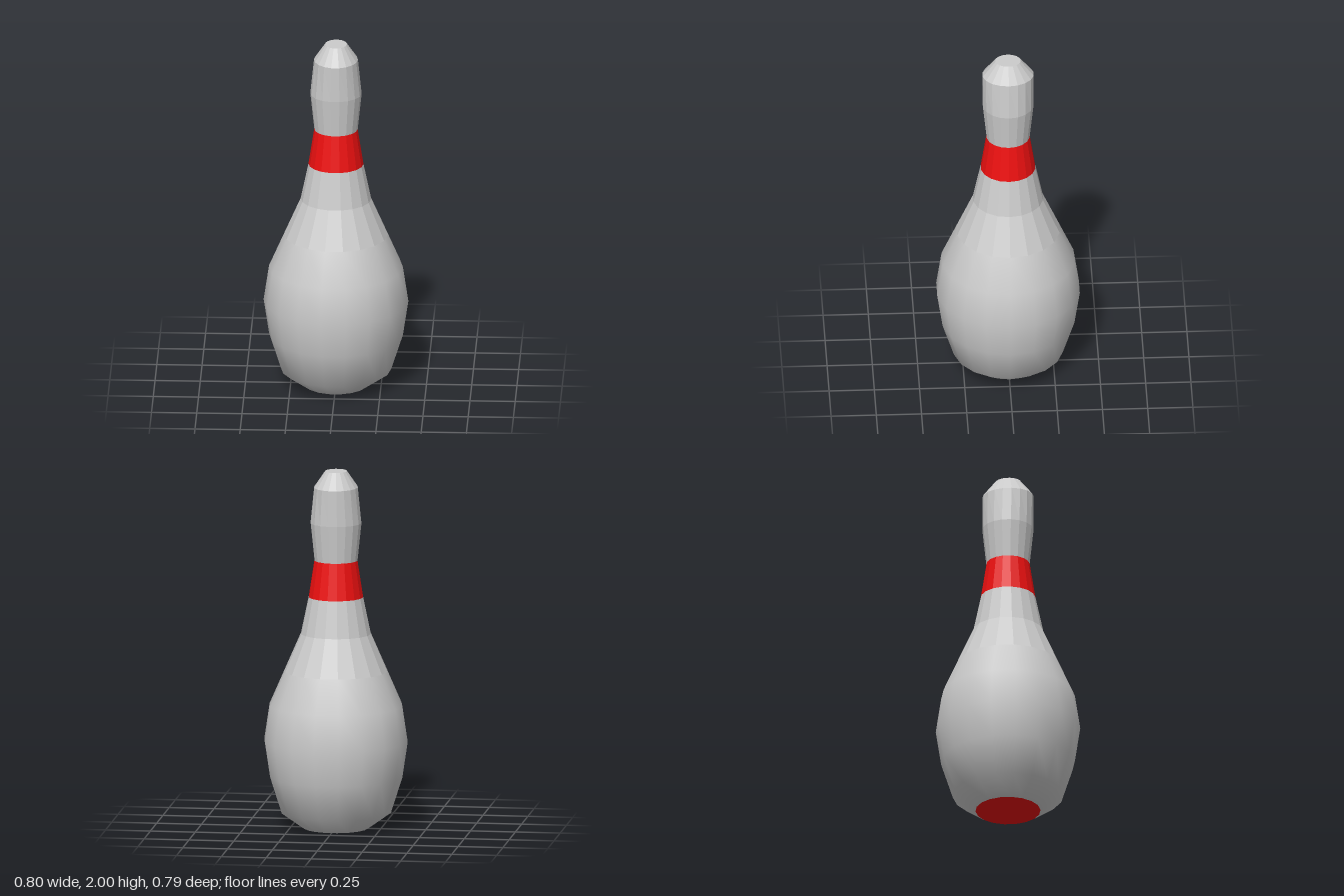
import * as THREE from 'three';

const SIDES = 18;

export function createModel() {
  const group = new THREE.Group();
  group.name = 'bowlingPin';

  const smoothGrey = new THREE.MeshStandardMaterial({ color: 0xcccccc });
  const flatGrey = new THREE.MeshStandardMaterial({ color: 0xcccccc, flatShading: true });
  const flatRed = new THREE.MeshStandardMaterial({ color: 0xee1010, flatShading: true });

  const add = (name, geometry, material) => {
    const mesh = new THREE.Mesh(geometry, material);
    mesh.name = name;
    group.add(mesh);
    return mesh;
  };
  // Profile points are [radius, height], from bottom to top; a corner lies on +x
  const turn = (profile) => new THREE.LatheGeometry(
    profile.map(([r, y]) => new THREE.Vector2(r, y)), SIDES, Math.PI / 2);

  // Smooth round belly
  add('belly', turn([[0.18, 0], [0.306, 0.09], [0.37, 0.29], [0.4, 0.49], [0.37, 0.69], [0.287, 0.88]]), smoothGrey);

  // Faceted shoulder, tapering to the neck
  add('shoulder', turn([[0.287, 0.88], [0.195, 1.09], [0.152, 1.295]]), flatGrey);

  // Red band round the neck
  add('neckBand', turn([[0.152, 1.295], [0.12, 1.5]]), flatRed);

  // Head, narrowed sideways toward its top
  const headGeometry = turn([[0.12, 1.5], [0.142, 1.71], [0.143, 1.91], [0.071, 2]]);
  const position = headGeometry.attributes.position;
  for (let i = 0; i < position.count; i++) {
    if (position.getY(i) > 1.8) position.setX(i, position.getX(i) * 0.85);
  }
  add('head', headGeometry, flatGrey);

  // Flat oval crown
  const crown = add('crown', new THREE.CircleGeometry(0.071, SIDES).rotateX(-Math.PI / 2), flatGrey);
  crown.scale.x = 0.85;
  crown.position.y = 2;

  // Red underside
  add('base', new THREE.CircleGeometry(0.18, SIDES).rotateX(Math.PI / 2), flatRed);

  return group;
}
